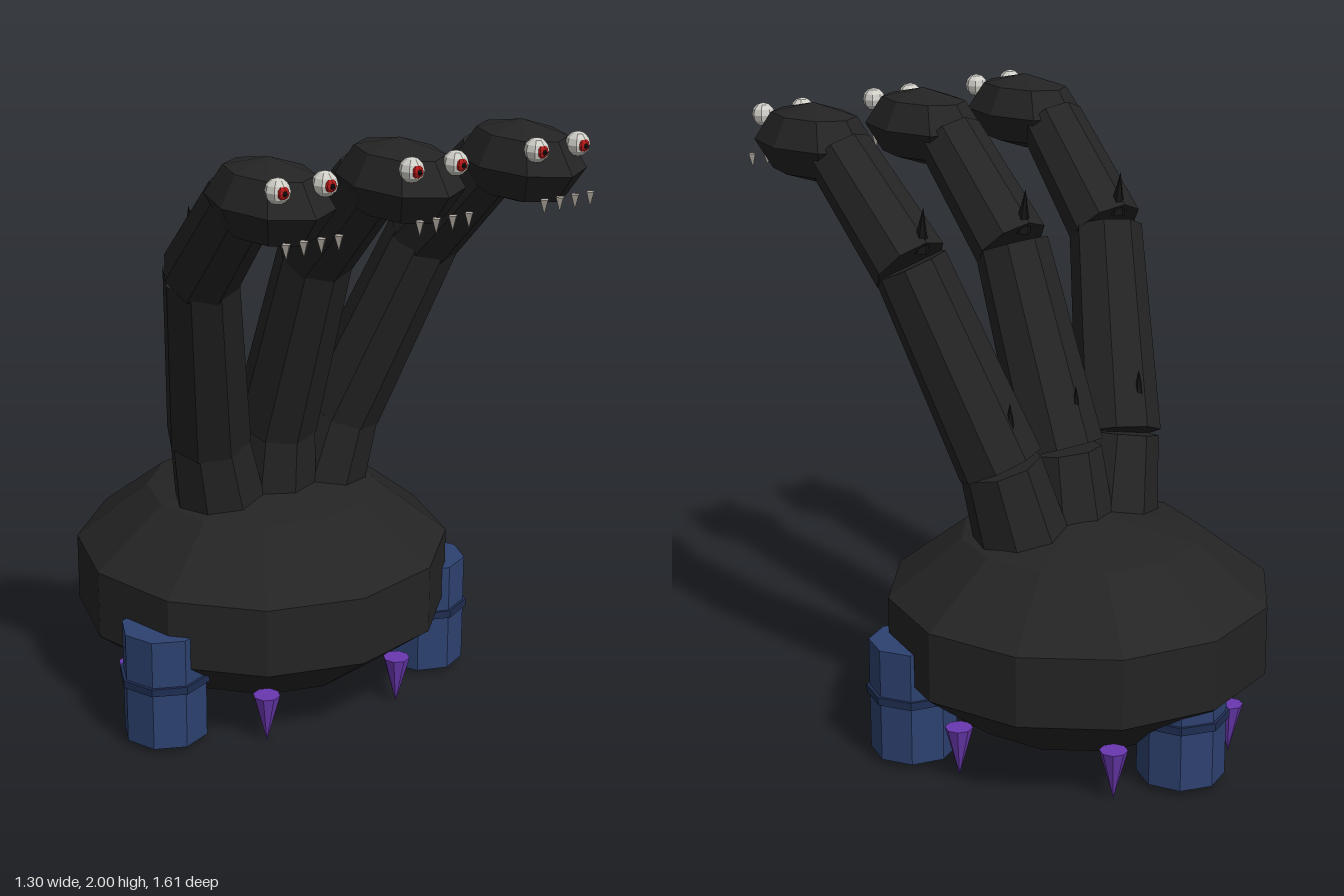
import * as THREE from 'three';

const mat = (name, color) => {
  const m = new THREE.MeshStandardMaterial({ color, flatShading: true });
  m.name = name;
  return m;
};

export function createModel() {
  const black = mat('black hide', 0x242424);
  const blue = mat('leg blue', 0x2d4170);
  const navy = mat('band navy', 0x1f2d52);
  const purple = mat('spike purple', 0x6a38b0);
  const white = mat('eye white', 0xd0cfc8);
  const red = mat('iris red', 0xb01818);
  const grey = mat('tooth grey', 0xb4aca4);
  const dark = mat('dark thorn', 0x141414);

  const model = new THREE.Group();
  model.name = 'threeHeadedCreature';

  const add = (parent, name, geo, material, x, y, z) => {
    const m = new THREE.Mesh(geo, material);
    m.name = name;
    m.position.set(x, y, z);
    parent.add(m);
    return m;
  };
  const UP = new THREE.Vector3(0, 1, 0);

  // tapered eight-sided segment between two points
  const segment = (parent, name, a, b, ra, rb) => {
    const dir = b.clone().sub(a);
    const mid = a.clone().add(b).multiplyScalar(0.5);
    const m = add(parent, name, new THREE.CylinderGeometry(rb, ra, dir.length(), 8), black, mid.x, mid.y, mid.z);
    m.quaternion.setFromUnitVectors(UP, dir.normalize());
  };

  // body: flattened faceted ball
  const bodyZ = -0.19;
  add(model, 'body', new THREE.SphereGeometry(0.645, 12, 5).scale(1, 0.565, 1), black, 0, 0.395, bodyZ);

  // three stubby legs with a band each
  for (const [x, z] of [[-0.505, 0.04], [0.505, 0.03], [-0.005, -0.655]]) {
    const leg = new THREE.Group();
    leg.name = 'leg';
    leg.position.set(x, 0, z);
    add(leg, 'legColumn', new THREE.CylinderGeometry(0.137, 0.137, 0.37, 8), blue, 0, 0.205, 0);
    add(leg, 'legBand', new THREE.CylinderGeometry(0.147, 0.147, 0.025, 8), navy, 0, 0.222, 0);
    leg.rotation.y = Math.PI / 2 + (x > 0 ? 0.07 : 0);
    model.add(leg);
  }

  // ring of spikes pointing down
  for (let i = 0; i < 6; i++) {
    const a = (i * Math.PI) / 3;
    add(model, 'bellySpike', new THREE.ConeGeometry(0.044, 0.163, 8).rotateX(Math.PI), purple,
      Math.cos(a) * 0.5, 0.0815, bodyZ + Math.sin(a) * 0.5);
  }

  // three necks and heads
  for (const s of [-1, 0, 1]) {
    const neck = new THREE.Group();
    neck.name = s === 0 ? 'middleNeck' : s > 0 ? 'leftNeck' : 'rightNeck';
    model.add(neck);

    const p = [[0.17, 0.6, -0.145], [0.25, 0.94, -0.1], [0.405, 1.555, 0.135], [0.435, 1.855, 0.435]]
      .map(([x, y, z]) => new THREE.Vector3(s * x, y, z));
    segment(neck, 'neckBase', p[0], p[1], 0.158, 0.13);
    segment(neck, 'neckMiddle', p[1], p[2], 0.137, 0.118);
    segment(neck, 'neckTop', p[2], p[3], 0.121, 0.107);

    // thorns along the back of the neck
    const upper = add(neck, 'upperThorn', new THREE.ConeGeometry(0.028, 0.14, 6), dark, s * 0.405, 1.675, 0.075);
    upper.rotation.x = -0.12;
    add(neck, 'lowerThorn', new THREE.ConeGeometry(0.02, 0.1, 6), dark, s * 0.27, 1.11, -0.17);

    // head
    const head = new THREE.Group();
    head.name = 'head';
    head.position.set(s * 0.435, 1.875, 0.57);
    neck.add(head);
    add(head, 'skull', new THREE.SphereGeometry(1, 8, 4).scale(0.155, 0.125, 0.24), black, 0, 0, 0);

    for (const e of [-1, 1]) {
      add(head, 'eyeball', new THREE.SphereGeometry(0.037, 8, 6), white, e * 0.075, 0.074, 0.165);
      add(head, 'iris', new THREE.SphereGeometry(0.021, 8, 6), red, e * 0.075, 0.074, 0.186);
      add(head, 'pupil', new THREE.SphereGeometry(0.009, 6, 4), dark, e * 0.075, 0.074, 0.201);
    }

    // teeth
    for (let t = 0; t < 4; t++) {
      add(head, 'tooth', new THREE.ConeGeometry(0.015, 0.045, 4).rotateX(Math.PI), grey,
        (t - 1.5) * 0.056, -0.08, 0.222);
    }
  }
  return model;
}
